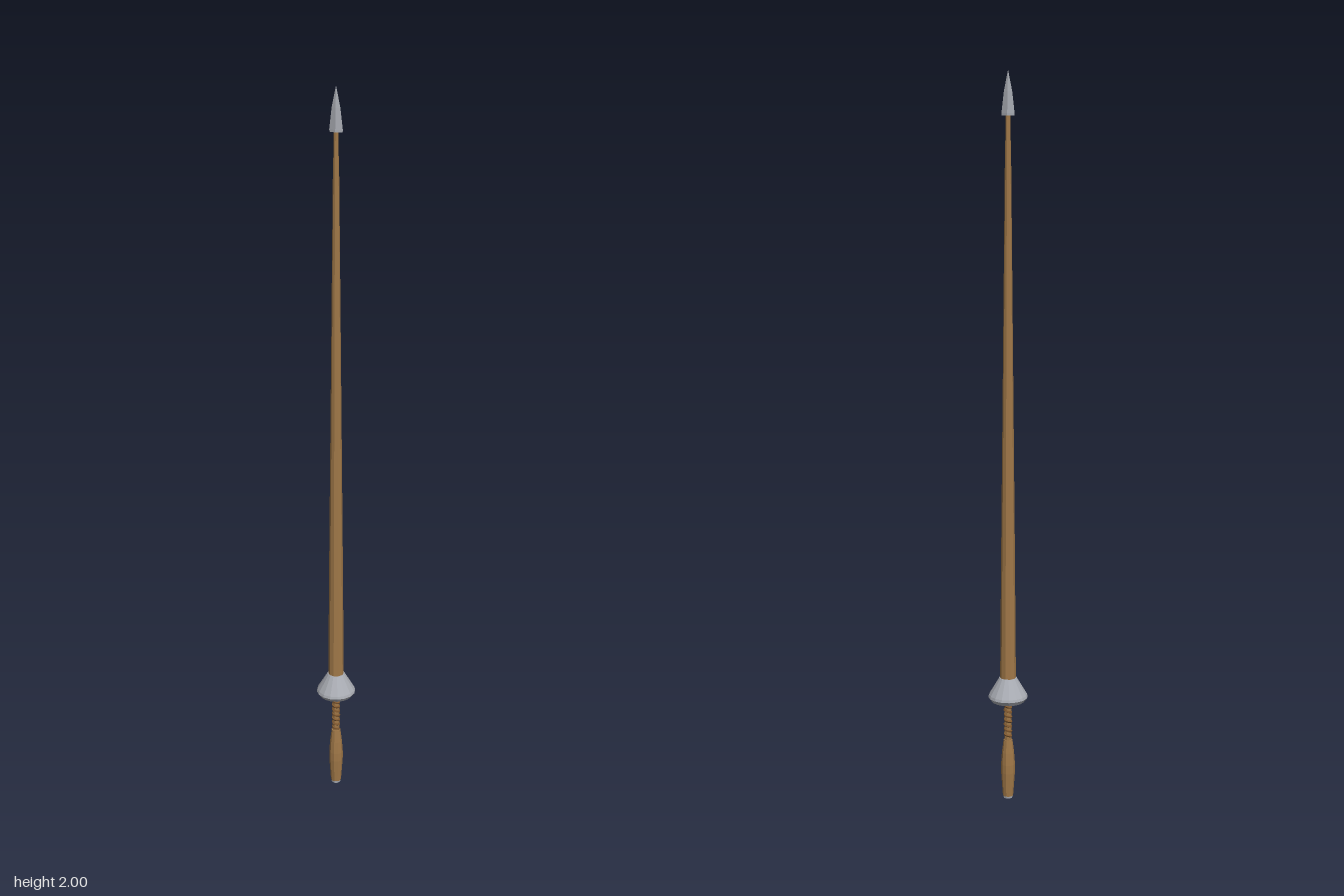
import * as THREE from 'three';

const wood = new THREE.MeshStandardMaterial({ color: 0xa07848, flatShading: true });
const leather = new THREE.MeshStandardMaterial({ color: 0x80582f, flatShading: true });
const steel = new THREE.MeshStandardMaterial({ color: 0xa9acb3, flatShading: true });

// Turned part from [radius, height] points, listed bottom to top
function turned(name, points, sides, material) {
  const profile = points.map(([r, y]) => new THREE.Vector2(r, y));
  const mesh = new THREE.Mesh(new THREE.LatheGeometry(profile, sides), material);
  mesh.name = name;
  return mesh;
}

// Spiral cord wound around the grip
function gripWrap(bottom, top, radius, turns) {
  const points = [];
  const steps = turns * 8;
  for (let i = 0; i <= steps; i++) {
    const t = i / steps;
    const a = t * turns * Math.PI * 2;
    points.push(new THREE.Vector3(
      Math.cos(a) * radius, THREE.MathUtils.lerp(bottom, top, t), Math.sin(a) * radius));
  }
  const path = new THREE.CatmullRomCurve3(points);
  const mesh = new THREE.Mesh(new THREE.TubeGeometry(path, turns * 12, 0.004, 5), leather);
  mesh.name = 'gripWrap';
  return mesh;
}

export function createModel() {
  const lance = new THREE.Group();
  lance.name = 'lance';

  // Butt end and swelling pommel
  lance.add(turned('buttCap', [[0, 0], [0.013, 0], [0.014, 0.008], [0, 0.008]], 10, steel));
  lance.add(turned('pommel', [
    [0, 0.006], [0.0145, 0.006], [0.017, 0.04], [0.0195, 0.075], [0.0195, 0.1],
    [0.017, 0.135], [0.0125, 0.172], [0, 0.172],
  ], 10, wood));

  // Narrow grip with its cord
  lance.add(turned('grip', [[0.0095, 0.165], [0.0095, 0.295]], 10, wood));
  lance.add(gripWrap(0.176, 0.288, 0.0085, 8));

  // Conical hand guard with a bevelled lower rim
  lance.add(turned('handGuard', [
    [0, 0.286], [0.046, 0.286], [0.055, 0.298], [0.053, 0.305], [0.024, 0.354], [0, 0.354],
  ], 16, steel));

  // Long tapering shaft
  lance.add(turned('shaft', [
    [0.022, 0.345], [0.0185, 0.75], [0.0145, 1.15], [0.0115, 1.45], [0.0085, 1.75], [0.0075, 1.82], [0, 1.82],
  ], 10, wood));
  lance.add(turned('shaftNeck', [
    [0.007, 1.815], [0.006, 1.89], [0, 1.89],
  ], 10, wood));

  // Flat four-sided point, widest across x
  const point = turned('lancePoint', [[0, 1.884], [0.0175, 1.884], [0.018, 1.89], [0.0115, 1.945], [0, 2]], 4, steel);
  point.geometry.scale(1, 1, 0.36);
  lance.add(point);

  return lance;
}
